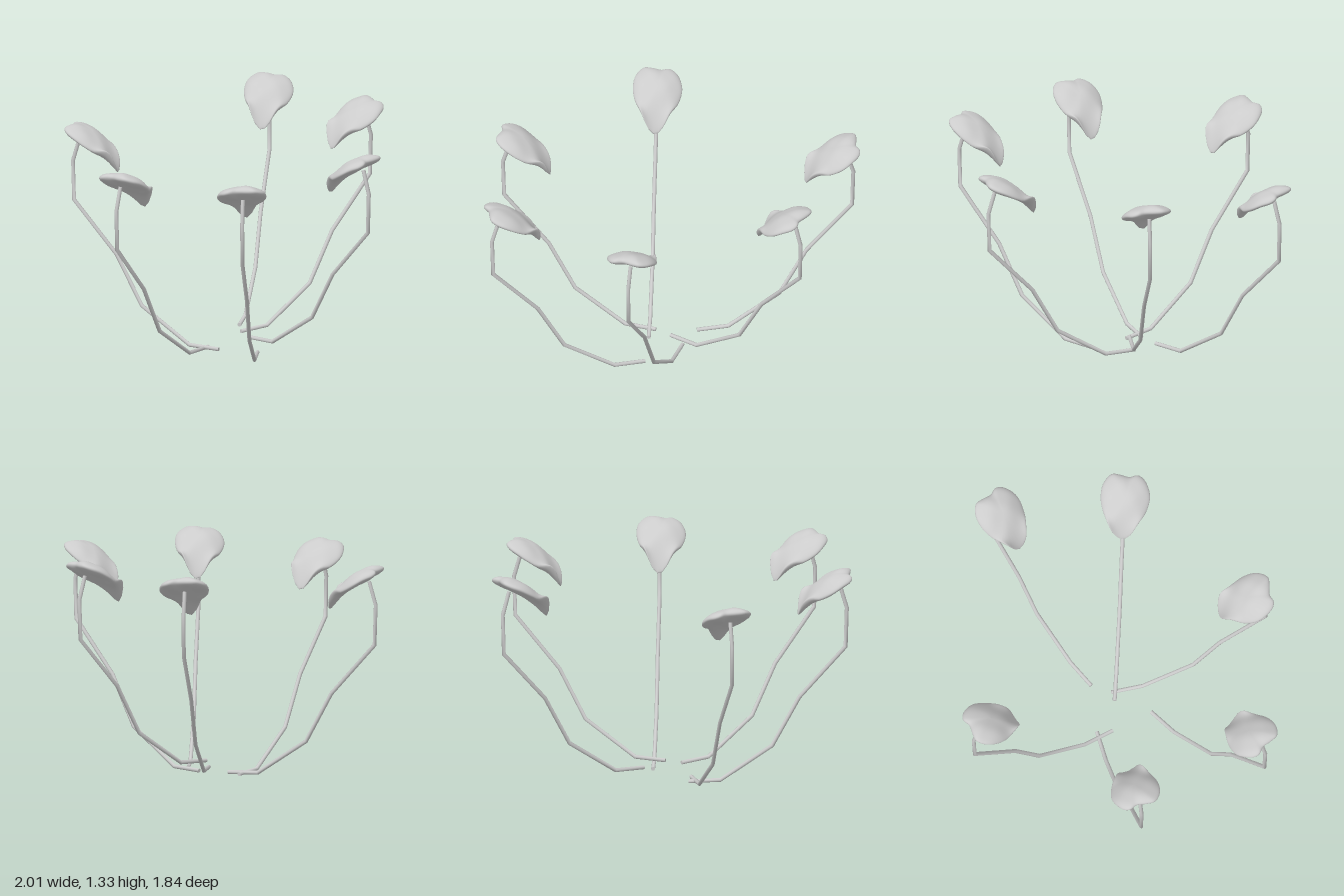
import * as THREE from 'three';

const material = new THREE.MeshStandardMaterial({ color: 0xcccccc });

// Skin a list of closed rings (all with the same number of points)
function skin(rings) {
  const n = rings[0].length, index = [];
  for (let r = 0; r < rings.length - 1; r++) {
    for (let i = 0; i < n; i++) {
      const j = (i + 1) % n;
      const a = r * n + i, b = r * n + j, c = a + n, d = b + n;
      index.push(a, b, c, b, d, c);
    }
  }
  const geometry = new THREE.BufferGeometry();
  geometry.setAttribute('position', new THREE.Float32BufferAttribute(rings.flat(2), 3));
  geometry.setIndex(index);
  geometry.computeVertexNormals();
  return geometry;
}

// Kinked stem in the local y-z plane: [outward, height], with mitred joints
function stemGeometry() {
  const path = [[0, 0], [0.18, 0.006], [0.475, 0.205], [0.63, 0.49], [0.893, 0.785], [0.9, 1.015], [0.86, 1.15]]
    .map(([u, y]) => new THREE.Vector2(u, y));
  const radius = 0.0115, sides = 8, last = path.length - 1;
  const ring = (k, scale) => {
    const before = path[Math.max(k, 1)].clone().sub(path[Math.max(k, 1) - 1]).normalize();
    const m = Math.min(k, last - 1);
    const after = path[m + 1].clone().sub(path[m]).normalize();
    const t = before.clone().add(after).normalize();
    const miter = radius * scale / t.dot(after);
    return Array.from({ length: sides }, (_, i) => {
      const a = (i / sides) * Math.PI * 2, c = Math.cos(a) * miter;
      return [-Math.sin(a) * radius * scale, path[k].y + t.x * c, path[k].x - t.y * c];
    });
  };
  const body = path.map((_, k) => ring(k, 1));
  // Flat end caps
  return skin([ring(0, 0), ring(0, 1), ...body, ring(last, 1), ring(last, 0)]);
}

// Puffed heart-shaped leaf: the notch is on the outside, the tip droops inward
function leafGeometry() {
  const outline = new THREE.CatmullRomCurve3([
    [-0.05, 0.63], [0.055, 0.63], [0.098, 0.7], [0.128, 0.79], [0.118, 0.87], [0.075, 0.922], [0.025, 0.922],
    [-0.03, 0.912], [-0.075, 0.927], [-0.11, 0.912], [-0.143, 0.86], [-0.152, 0.81], [-0.13, 0.735], [-0.092, 0.675],
  ].map(([v, u]) => new THREE.Vector3(v, 0, u)), true).getPoints(56).slice(0, -1);
  const cu = 0.78, cv = -0.015, rows = 24, rings = [];
  for (let r = 0; r <= rows; r++) {
    const phi = (r / rows) * Math.PI;
    const s = Math.max(Math.sin(phi), 0.001);
    rings.push(outline.map((p) => {
      const v = cv + (p.x - cv) * s, u = cu + (p.z - cu) * s, d = u - 0.77;
      const middle = 1.15 + 0.66 * d - 1.5 * d * d - 0.9 * v * v + 0.06 * v;
      // The tip folds down into a keel
      const tip = (Math.max(0, 0.745 - u) / 0.12) ** 2;
      const keel = tip * (18 * (v + 0.01) ** 2 - 0.035);
      const dent = 0.003 * Math.sin(v * 45 + 1) * Math.sin(u * 38);
      return [v, middle + keel + 0.042 * Math.cos(phi) + dent, u];
    }));
  }
  return skin(rings);
}

export function createModel() {
  const model = new THREE.Group();
  model.name = 'leafStalks';
  const stem = stemGeometry(), leaf = leafGeometry();

  // Base x, y, z of each stalk, then the x, z position its bend reaches
  const stalks = [
    [-0.075, 0.015, -0.12, -0.965, 0.02],
    [0, 0.032, 0.2, -0.705, 0.765],
    [0.14, 0.05, -0.01, 0.2, 0.89],
    [0.07, 0.1, 0, 0.965, 0.172],
    [0.18, 0.09, -0.12, 0.945, -0.62],
    [-0.08, 0.018, -0.03, -0.41, -0.88],
  ];
  stalks.forEach(([x, y, z, tx, tz], i) => {
    const stalk = new THREE.Group();
    stalk.name = `stalk${i + 1}`;
    const stemMesh = new THREE.Mesh(stem, material);
    stemMesh.name = 'stem';
    const leafMesh = new THREE.Mesh(leaf, material);
    leafMesh.name = 'leaf';
    stalk.add(stemMesh, leafMesh);
    stalk.position.set(x, y, z);
    stalk.rotation.y = Math.atan2(tx - x, tz - z);
    model.add(stalk);
  });
  return model;
}
